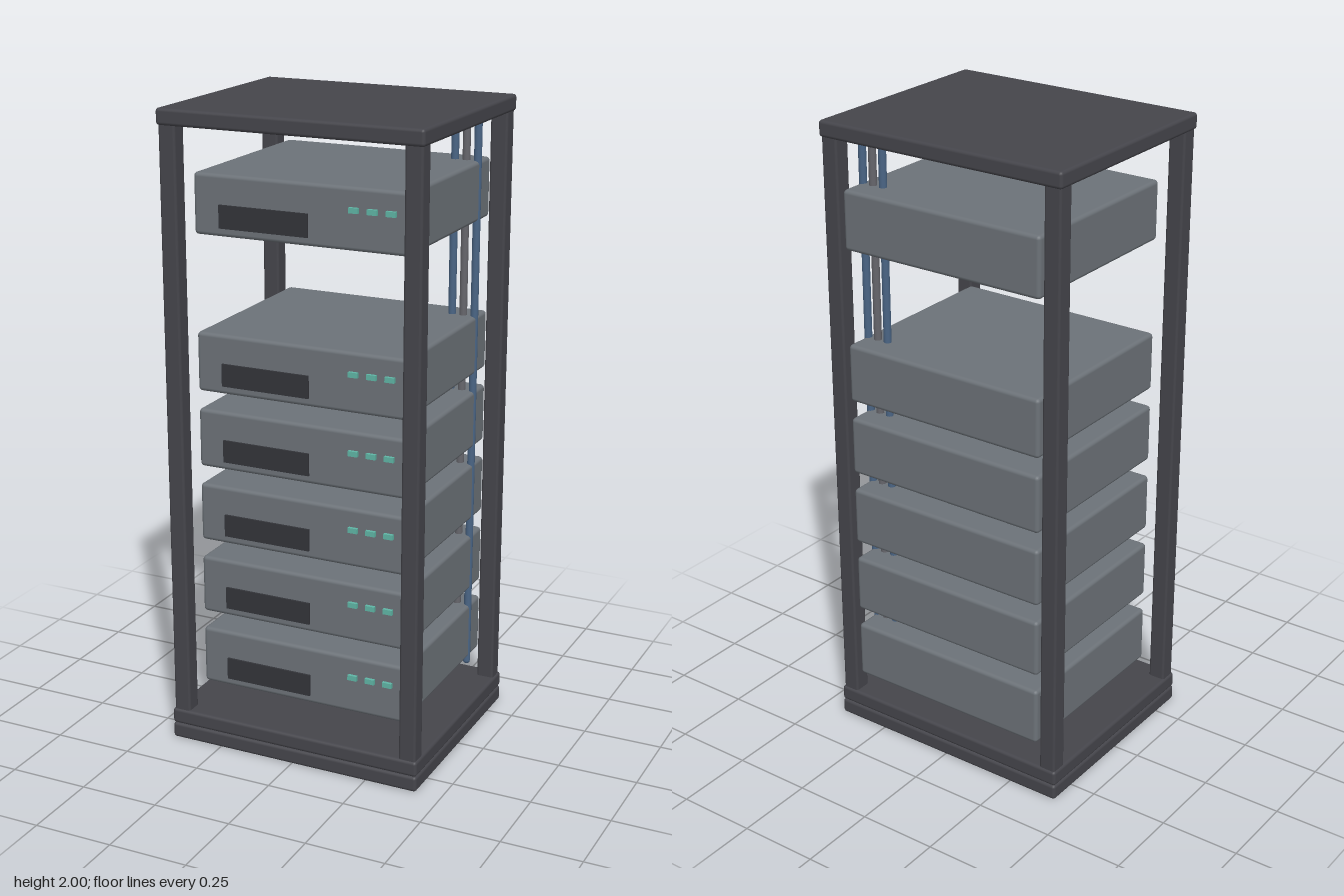
import * as THREE from 'three';
import { RoundedBoxGeometry } from 'three/addons/geometries/RoundedBoxGeometry.js';

const paint = (color) => new THREE.MeshStandardMaterial({ color });

export function createModel() {
  const rack = new THREE.Group();
  rack.name = 'serverRack';

  const frameMat = paint(0x45454b);
  const unitMat = paint(0x6c7278);
  const ventMat = paint(0x333439);
  const lightMat = paint(0x5fb5a5);
  const blueMat = paint(0x4a6585);
  const greyMat = paint(0x66666c);

  // Adds a named mesh to a parent
  const add = (parent, name, geometry, material, x, y, z) => {
    const mesh = new THREE.Mesh(geometry, material);
    mesh.name = name;
    mesh.position.set(x, y, z);
    parent.add(mesh);
    return mesh;
  };

  // Two stacked base plates and the top plate
  const plate = new RoundedBoxGeometry(0.84, 0.05, 0.7, 2, 0.01);
  add(rack, 'basePlate', plate, frameMat, 0, 0.025, 0);
  add(rack, 'floorPlate', plate, frameMat, 0, 0.075, 0);
  add(rack, 'topPlate', plate, frameMat, 0, 1.975, 0);

  // Four corner posts
  const post = new RoundedBoxGeometry(0.055, 1.88, 0.055, 2, 0.008);
  for (const sx of [-1, 1]) {
    for (const sz of [-1, 1]) {
      add(rack, 'cornerPost', post, frameMat, sx * 0.387, 1.025, sz * 0.317);
    }
  }

  // Rack units: case, dark vent and three status lights; slot 5 stays empty
  const unitCase = new RoundedBoxGeometry(0.69, 0.185, 0.61, 2, 0.012);
  const vent = new THREE.BoxGeometry(0.288, 0.07, 0.015);
  const light = new THREE.BoxGeometry(0.03, 0.016, 0.015);
  for (const slot of [0, 1, 2, 3, 4, 6]) {
    const unit = new THREE.Group();
    unit.name = 'rackUnit';
    unit.position.y = 0.268 + slot * 0.241;
    add(unit, 'unitCase', unitCase, unitMat, -0.003, 0, -0.04);
    add(unit, 'frontVent', vent, ventMat, -0.118, -0.031, 0.264);
    for (let i = 0; i < 3; i++) {
      add(unit, 'statusLight', light, lightMat, 0.172 + i * 0.058, 0.027, 0.268);
    }
    rack.add(unit);
  }

  // Vertical cables at the rear left
  const cable = new THREE.CapsuleGeometry(0.012, 1.776, 4, 12);
  [blueMat, greyMat, blueMat].forEach((material, i) => {
    add(rack, 'cable', cable, material, 0.26 + i * 0.037, 1.05, -0.26);
  });

  return rack;
}
